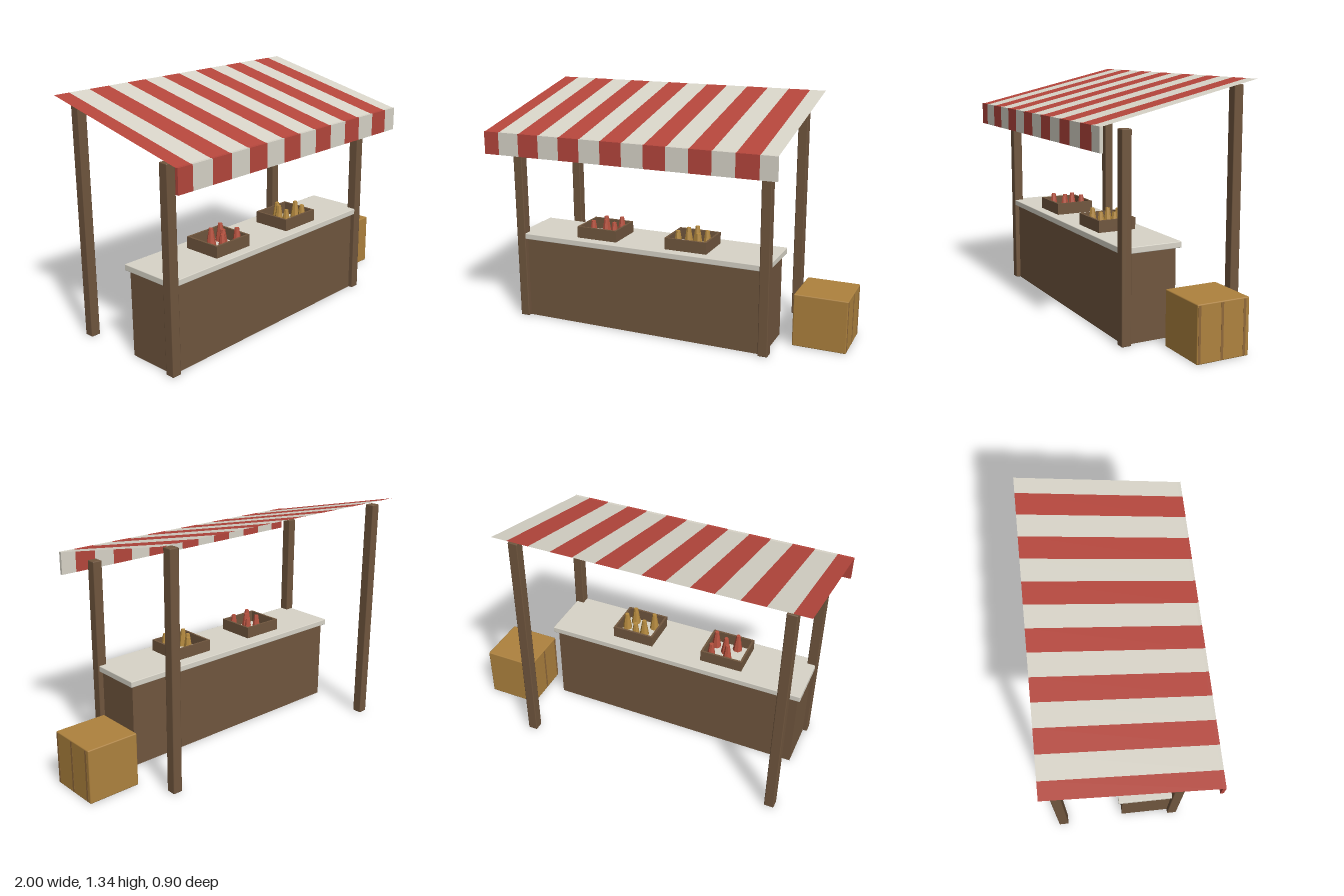
import * as THREE from 'three';
import { RoundedBoxGeometry } from 'three/addons/geometries/RoundedBoxGeometry.js';

const mat = (name, color, side = THREE.FrontSide) => {
  const m = new THREE.MeshStandardMaterial({ color, side });
  m.name = name;
  return m;
};

export function createModel() {
  const wood = mat('brown wood', 0x70563e, THREE.DoubleSide);
  const cream = mat('cream', 0xd8d4c8, THREE.DoubleSide);
  const red = mat('awning red', 0xb5463c, THREE.DoubleSide);
  const ochre = mat('crate ochre', 0xae823e);
  const ochreDark = mat('crate seam', 0x8f683a);
  const redFruit = mat('red produce', 0xb8523f);
  const goldFruit = mat('golden produce', 0xb58a3f);

  const root = new THREE.Group();
  root.name = 'marketStall';

  const add = (parent, name, geometry, material) => {
    const mesh = new THREE.Mesh(geometry, material);
    mesh.name = name;
    parent.add(mesh);
    return mesh;
  };
  // Box given by its lower and upper corners, with an optional edge bevel
  const block = (parent, name, material, [x0, y0, z0], [x1, y1, z1], bevel = 0) => {
    const size = [x1 - x0, y1 - y0, z1 - z0];
    const g = bevel ? new RoundedBoxGeometry(...size, 1, bevel) : new THREE.BoxGeometry(...size);
    g.translate((x0 + x1) / 2, (y0 + y1) / 2, (z0 + z1) / 2);
    return add(parent, name, g, material);
  };

  // Posts: short pair in front, tall pair behind
  for (const x of [-0.925, 0.565]) {
    block(root, 'frontPost', wood, [x, 0, 0.234], [x + 0.055, 1.11, 0.289], 0.005);
    block(root, 'backPost', wood, [x, 0, -0.421], [x + 0.055, 1.31, -0.366], 0.005);
  }

  // Counter body, hollow and open underneath
  const body = block(root, 'counterBody', wood, [-0.9, 0, -0.04], [0.59, 0.48, 0.262]);
  const index = Array.from(body.geometry.index.array);
  index.splice(18, 6);
  body.geometry.setIndex(index);
  body.geometry.clearGroups();
  block(root, 'counterTop', cream, [-0.917, 0.48, -0.064], [0.612, 0.514, 0.286], 0.004);

  // Striped awning: sloped sheet and hanging valance
  const awning = new THREE.Group();
  awning.name = 'awning';
  root.add(awning);
  const edges = [-1];
  for (let i = 0; i < 13; i++) edges.push(-0.908 + i * 0.126);
  edges.push(0.695);
  for (let i = 0; i < edges.length - 1; i++) {
    const a = edges[i], b = edges[i + 1];
    const colour = i % 2 ? cream : red;
    const sheet = new THREE.PlaneGeometry(b - a, Math.hypot(0.88, 0.203));
    sheet.rotateX(-Math.PI / 2 + Math.atan2(0.203, 0.88));
    sheet.translate((a + b) / 2, 1.2385, -0.01);
    add(awning, 'canopyStripe', sheet, colour);
    block(awning, 'valanceStripe', colour, [a, 1.01, 0.43], [b, 1.137, 0.447]);
  }

  // Produce trays: four walls standing on the counter, filled with tapered produce
  const tray = (x, fruit, spots) => {
    const g = new THREE.Group();
    g.name = 'produceTray';
    root.add(g);
    const w = 0.247, y0 = 0.514, y1 = 0.58, z0 = 0.01, z1 = 0.232, t = 0.012;
    for (const z of [z0, z1 - t]) block(g, 'trayLongWall', wood, [x, y0, z], [x + w, y1, z + t]);
    for (const dx of [0, w - t]) {
      block(g, 'traySideWall', wood, [x + dx, y0, z0 + t], [x + dx + t, y1, z1 - t]);
    }
    for (const [dx, z] of spots) {
      const cone = new THREE.CylinderGeometry(0.012, 0.028, 0.1, 7).toNonIndexed();
      cone.computeVertexNormals();
      cone.translate(x + dx, y0 + 0.05, z);
      add(g, 'produce', cone, fruit);
    }
  };
  tray(-0.551, redFruit, [[0.085, 0.19], [0.11, 0.08], [0.14, 0.14], [0.21, 0.175], [0.2, 0.06]]);
  tray(-0.003, goldFruit, [[0.06, 0.18], [0.09, 0.1], [0.125, 0.055], [0.185, 0.19], [0.21, 0.12]]);

  // Crate beside the stall, with narrow seams on its sides
  const crate = new THREE.Group();
  crate.name = 'crate';
  root.add(crate);
  block(crate, 'crateBody', ochre, [0.697, 0, -0.217], [0.998, 0.302, 0.082], 0.006);
  for (const z of [0.07, -0.06, -0.19]) {
    for (const x of [0.696, 0.997]) {
      block(crate, 'crateSeam', ochreDark, [x, 0.006, z - 0.007], [x + 0.002, 0.296, z + 0.007]);
    }
  }
  return root;
}
